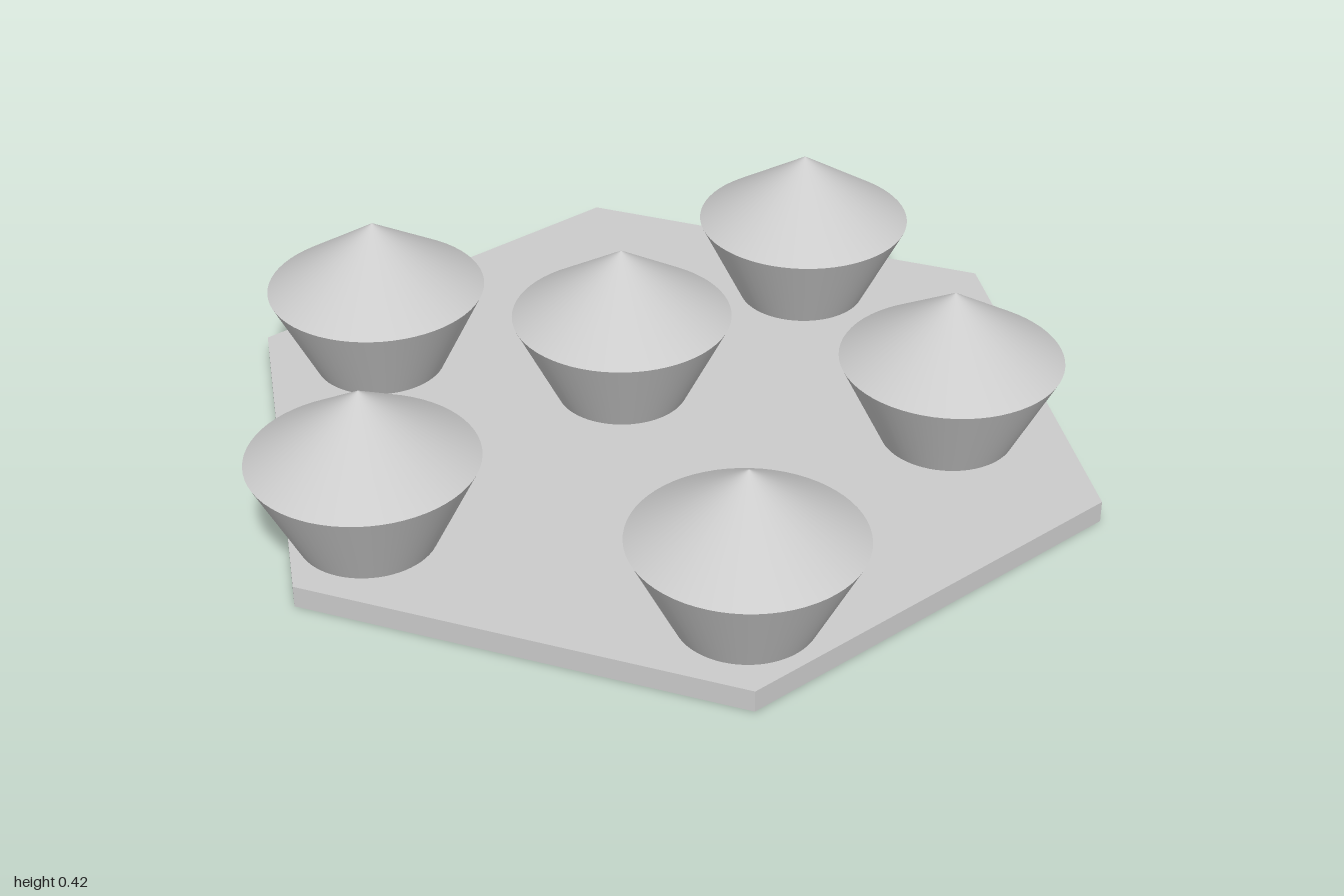
import * as THREE from 'three';

export function createModel() {
  const model = new THREE.Group();
  model.name = 'cupcakeTray';
  const smooth = new THREE.MeshStandardMaterial({ color: 0xcccccc });
  const flat = new THREE.MeshStandardMaterial({ color: 0xcccccc, flatShading: true });

  // Hexagonal tray with corners on the x axis
  const trayHeight = 0.05;
  const tray = new THREE.Mesh(new THREE.CylinderGeometry(1, 1, trayHeight, 6), flat);
  tray.name = 'tray';
  tray.rotation.y = Math.PI / 2;
  tray.position.set(0, trayHeight / 2, -0.004);
  model.add(tray);

  // Cupcake: tapered cup with a cone of icing flush with its rim
  const rim = 0.248, cupHeight = 0.2, icingHeight = 0.165;
  const cupGeometry = new THREE.CylinderGeometry(rim, 0.149, cupHeight, 64)
    .translate(0, cupHeight / 2, 0);
  const icingGeometry = new THREE.ConeGeometry(rim, icingHeight, 64)
    .translate(0, cupHeight + icingHeight / 2, 0);

  const places = [
    [0.12, -0.649], [0.617, -0.15], [-0.13, -0.077],
    [-0.705, -0.003], [-0.43, 0.648], [0.41, 0.648],
  ];
  places.forEach(([x, z], i) => {
    const cupcake = new THREE.Group();
    cupcake.name = `cupcake${i + 1}`;
    const cup = new THREE.Mesh(cupGeometry, smooth);
    cup.name = 'cup';
    const icing = new THREE.Mesh(icingGeometry, smooth);
    icing.name = 'icing';
    cupcake.add(cup, icing);
    cupcake.position.set(x, trayHeight, z);
    model.add(cupcake);
  });

  return model;
}
